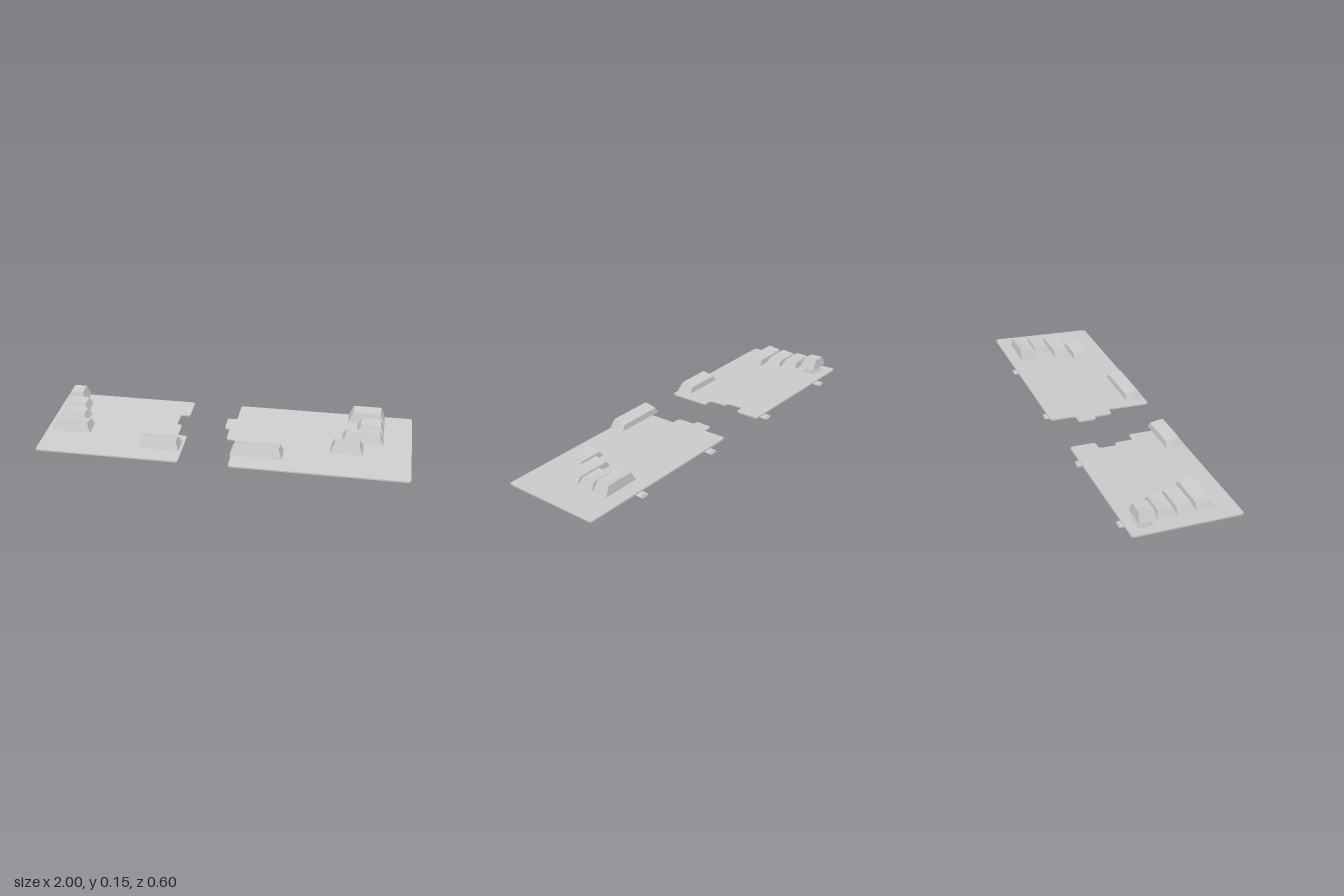
import * as THREE from 'three';

const grey = new THREE.MeshStandardMaterial({ color: 0xcccccc });
const flat = new THREE.MeshStandardMaterial({ color: 0xcccccc, flatShading: true, side: THREE.DoubleSide });
const lerp = THREE.MathUtils.lerp;
const TILT = THREE.MathUtils.degToRad(6);

function add(parent, name, geometry, material = grey, x = 0, y = 0, z = 0) {
  const mesh = new THREE.Mesh(geometry, material);
  mesh.name = name;
  mesh.position.set(x, y, z);
  parent.add(mesh);
  return mesh;
}

// Polygon with every corner rounded; points are [x, z]
function roundedOutline(points, r) {
  const shape = new THREE.Shape();
  const pts = points.map(([x, z]) => new THREE.Vector2(x, -z));
  pts.forEach((p, i) => {
    const prev = pts[(i + pts.length - 1) % pts.length];
    const next = pts[(i + 1) % pts.length];
    const a = p.clone().add(prev.clone().sub(p).setLength(Math.min(r, p.distanceTo(prev) * 0.45)));
    const b = p.clone().add(next.clone().sub(p).setLength(Math.min(r, p.distanceTo(next) * 0.45)));
    if (i) shape.lineTo(a.x, a.y);
    else shape.moveTo(a.x, a.y);
    shape.quadraticCurveTo(p.x, p.y, b.x, b.y);
  });
  shape.closePath();
  return shape;
}

function plate(points) {
  const geometry = new THREE.ExtrudeGeometry(roundedOutline(points, 0.016),
    { depth: 0.008, bevelEnabled: false, curveSegments: 6 });
  return geometry.rotateX(-Math.PI / 2);
}

// Side profile of each key row: front base, back base, front top, back top as [z, y]
const rows = [
  { p: [[-0.15, 0.09], [-0.246, 0.101], [-0.163, 0.1455], [-0.24, 0.1535]], bump: -0.002 },
  { p: [[-0.047, 0.081], [-0.144, 0.091], [-0.0625, 0.123], [-0.14, 0.128]], bump: -0.002 },
  { p: [[0.054, 0.069], [-0.042, 0.079], [0.038, 0.111], [-0.039, 0.111]], bump: -0.002 },
  { p: [[0.158, 0.059], [0.061, 0.069], [0.142, 0.106], [0.064, 0.101]], bump: -0.002 },
  { p: [[0.259, 0.048], [0.163, 0.058], [0.242, 0.097], [0.167, 0.09]], bump: 0.0015 },
];

// Open-bottomed keycap: a box bent onto the row profile, with a dished or domed top
function keycap({ p, bump }, [b0, b1, t0, t1]) {
  const geometry = new THREE.BoxGeometry(1, 1, 1, 8, 1, 8);
  const pos = geometry.attributes.position;
  for (let i = 0; i < pos.count; i++) {
    const u = pos.getX(i) + 0.5, t = pos.getY(i) + 0.5, v = pos.getZ(i) + 0.5;
    const side = (k) => lerp(lerp(p[1][k], p[0][k], v), lerp(p[3][k], p[2][k], v), t);
    const ends = bump < 0 ? 1 - (2 * u - 1) ** 4 : 1;
    pos.setXYZ(i, lerp(lerp(b0, b1, u), lerp(t0, t1, u), t),
      side(1) + t * bump * ends * (1 - (2 * v - 1) ** 2), side(0));
  }
  const bottom = geometry.groups[3];
  const index = Array.from(geometry.index.array);
  index.splice(bottom.start, bottom.count);
  geometry.setIndex(index);
  geometry.clearGroups();
  geometry.computeVertexNormals();
  return geometry;
}

function stadium(target, w, h) {
  const r = h / 2, c = w / 2 - r;
  target.absarc(c, 0, r, -Math.PI / 2, Math.PI / 2, false);
  target.absarc(-c, 0, r, Math.PI / 2, Math.PI * 1.5, false);
  target.closePath();
  return target;
}

// Rounded port shell, open at the back, with an inner tongue
function port(x) {
  const group = new THREE.Group();
  group.name = 'cablePort';
  const shell = stadium(new THREE.Shape(), 0.046, 0.016);
  shell.holes.push(stadium(new THREE.Path(), 0.042, 0.012));
  add(group, 'portShell', new THREE.ExtrudeGeometry(shell,
    { depth: 0.038, bevelEnabled: false, curveSegments: 10 }), grey, 0, 0, -0.019);
  add(group, 'portBack', new THREE.BoxGeometry(0.036, 0.012, 0.012), grey, 0, 0, 0.012);
  add(group, 'portTongue', new THREE.BoxGeometry(0.032, 0.0035, 0.026), grey, 0, 0, -0.003);
  group.position.set(x, -0.035, -0.28);
  return group;
}

// Key switch standing on the plate
function keySwitch(x, z) {
  const group = new THREE.Group();
  group.name = 'keySwitch';
  add(group, 'switchFlange', new THREE.BoxGeometry(0.086, 0.004, 0.086), grey, 0, 0.002, 0);
  const housing = new THREE.CylinderGeometry(0.057 / Math.SQRT2, 0.075 / Math.SQRT2, 0.032, 4);
  add(group, 'switchHousing', housing.rotateY(Math.PI / 4), flat, 0, 0.02, 0);
  for (const s of [-1, 1]) {
    add(group, 'housingClip', new THREE.BoxGeometry(0.008, 0.018, 0.014), grey, s * 0.033, 0.013, 0.02);
    add(group, 'housingClip', new THREE.BoxGeometry(0.008, 0.018, 0.014), grey, s * 0.033, 0.013, -0.02);
  }
  add(group, 'stemCross', new THREE.BoxGeometry(0.022, 0.02, 0.007), grey, 0, 0.046, 0);
  add(group, 'stemCross', new THREE.BoxGeometry(0.007, 0.02, 0.022), grey, 0, 0.046, 0);
  group.position.set(x, 0.008, z);
  return group;
}

// Each half: plate outline, ports, and [base left, base right, top left, top right] per key row
const halves = [
  {
    name: 'rightHalf',
    outline: [[-1, 0.3], [-0.213, 0.3], [-0.213, 0.05], [-0.265, 0.05], [-0.265, -0.056],
      [-0.292, -0.056], [-0.292, -0.157], [-0.24, -0.157], [-0.24, -0.3], [-1, -0.3]],
    ports: [-0.853, -0.34],
    keys: [[-0.968, -0.85, -0.942, -0.873], [-0.954, -0.805, -0.936, -0.826],
      [-0.954, -0.781, -0.936, -0.802], [-0.954, -0.733, -0.936, -0.752], [-0.438, -0.215, -0.419, -0.234]],
  },
  {
    name: 'leftHalf',
    outline: [[0.055, 0.3], [1, 0.3], [1, -0.3], [0.032, -0.3], [0.032, -0.157],
      [-0.022, -0.157], [-0.022, -0.056], [0.005, -0.056], [0.005, 0.05], [0.055, 0.05]],
    ports: [0.132, 0.647],
    keys: [[0.65, 0.848, 0.674, 0.825], [0.703, 0.848, 0.722, 0.829],
      [0.628, 0.848, 0.647, 0.829], [0.575, 0.746, 0.597, 0.727], [0.057, 0.334, 0.075, 0.315]],
  },
];

export function createModel() {
  const model = new THREE.Group();
  model.name = 'splitKeyboard';
  for (const half of halves) {
    const group = new THREE.Group();
    group.name = half.name;
    // Sloping base with its ports
    const base = new THREE.Group();
    base.name = 'tiltedBase';
    base.rotation.x = TILT;
    base.position.set(0, 0.3 * Math.sin(TILT), 0.001);
    add(base, 'plate', plate(half.outline));
    half.ports.forEach((x) => base.add(port(x)));
    if (half.name === 'rightHalf') base.add(keySwitch(-0.909, -0.204));
    group.add(base);
    // One keycap per row
    half.keys.forEach((x, i) => add(group, 'keycap', keycap(rows[i], x), flat));
    model.add(group);
  }
  return model;
}
